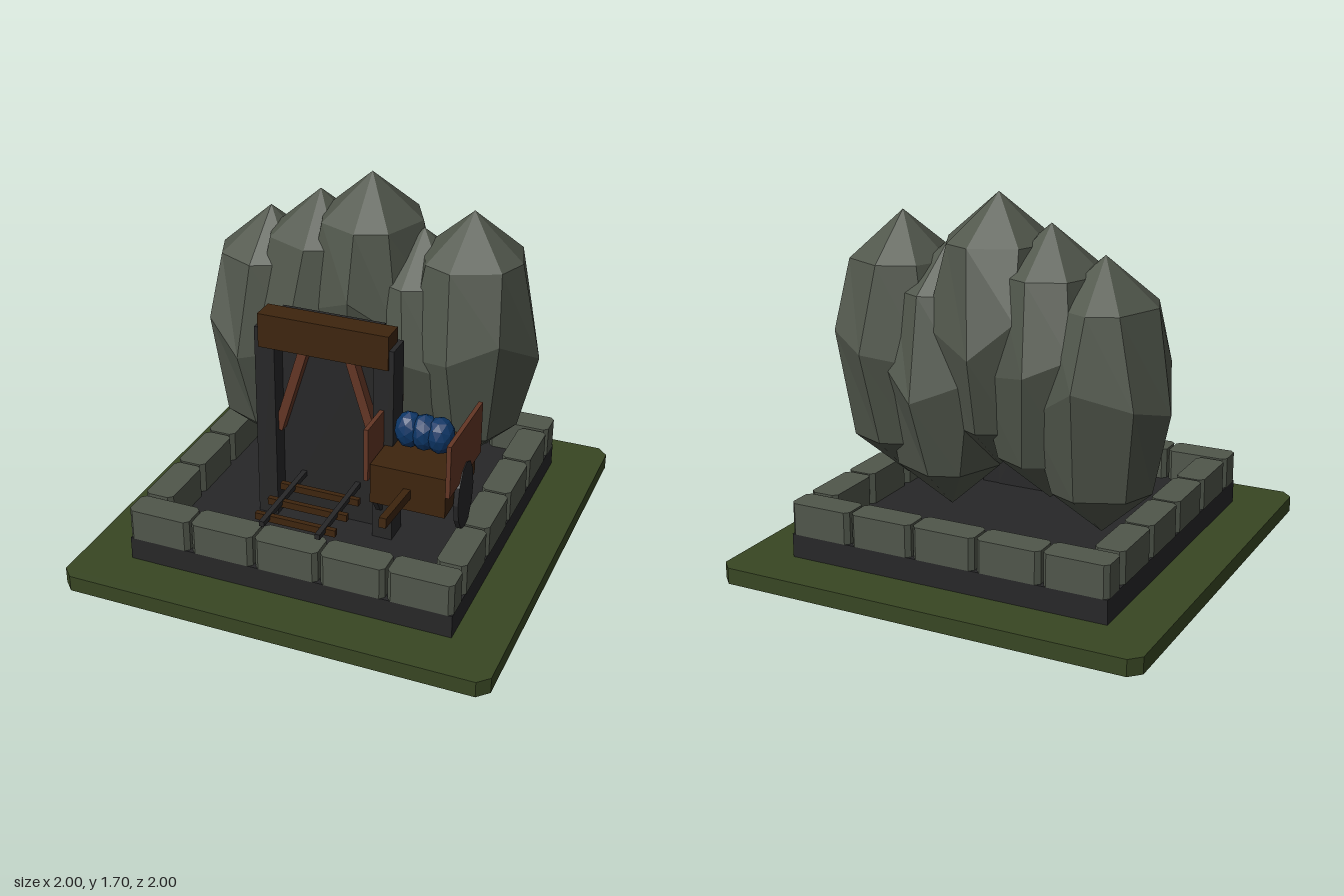
import * as THREE from 'three';

const mat = (name, color) => {
  const m = new THREE.MeshStandardMaterial({ color, flatShading: true });
  m.name = name;
  return m;
};

export function createModel() {
  const root = new THREE.Group();
  root.name = 'mineEntrance';
  const grass = mat('grass green', 0x384623);
  const stone = mat('grey stone', 0x50564b);
  const dark = mat('charcoal', 0x272728);
  const wood = mat('dark wood', 0x3e250e);
  const redWood = mat('red wood', 0x633625);
  const blue = mat('blue ore', 0x0c3565);

  const add = (name, geo, material, x, y, z, parent = root) => {
    const m = new THREE.Mesh(geo, material);
    m.name = name;
    m.position.set(x, y, z);
    parent.add(m);
    return m;
  };
  // box given by its min and max on each axis
  const box = (name, material, x0, x1, y0, y1, z0, z1, parent) =>
    add(name, new THREE.BoxGeometry(x1 - x0, y1 - y0, z1 - z0), material,
      (x0 + x1) / 2, (y0 + y1) / 2, (z0 + z1) / 2, parent);
  // slab with chamfered vertical edges, standing on y = 0
  const slab = (w, d, h, c) => {
    const a = w / 2, b = d / 2;
    const s = new THREE.Shape([
      [a - c, -b], [a, -b + c], [a, b - c], [a - c, b],
      [-a + c, b], [-a, b - c], [-a, -b + c], [-a + c, -b],
    ].map(([x, y]) => new THREE.Vector2(x, y)));
    return new THREE.ExtrudeGeometry(s, { depth: h, bevelEnabled: false }).rotateX(-Math.PI / 2);
  };

  // ground and foundation
  add('ground', slab(2, 2, 0.075, 0.05), grass, 0, 0, 0);
  box('foundation', dark, -0.765, 0.765, 0.075, 0.185, -0.765, 0.765);

  // ring of stone blocks
  const wall = new THREE.Group();
  wall.name = 'stoneWall';
  root.add(wall);
  const longBlock = slab(0.297, 0.136, 0.148, 0.02);
  const sideBlock = slab(0.136, 0.297, 0.148, 0.02);
  for (const s of [-1, 1]) {
    for (let i = 0; i < 5; i++) add('wallBlock', longBlock, stone, (i - 2) * 0.309, 0.185, s * 0.7);
    for (let i = 0; i < 4; i++) add('sideWallBlock', sideBlock, stone, s * 0.7, 0.185, (i - 1.5) * 0.309);
  }

  // faceted boulders: rings between a top and a bottom point
  const boulder = (seed) => {
    const n = 8;
    const rings = [[0.617, 0], [0.41, 0.245], [0.03, 0.33], [-0.4, 0.245], [-0.617, 0]];
    const pos = [], idx = [];
    rings.forEach(([y, r], k) => {
      for (let i = 0; i < n; i++) {
        const t = (i / n) * Math.PI * 2;
        const j = Math.sin(seed * 5.1 + i * 2.7 + k * 1.9);
        const a = t + (r ? j * 0.1 : 0);
        const dy = k === 2 ? Math.sin(i * 2.3 + seed) * 0.09 : 0;
        pos.push(Math.cos(a) * r * 0.97, y + dy, Math.sin(a) * r * 1.04);
      }
    });
    for (let k = 0; k < rings.length - 1; k++) {
      for (let i = 0; i < n; i++) {
        const a = k * n + i, b = k * n + (i + 1) % n;
        if (k > 0) idx.push(a, b, a + n);
        if (k < rings.length - 2) idx.push(b, b + n, a + n);
        if (k === 0) idx.splice(idx.length - 3, 3, b, b + n, a + n);
      }
    }
    const g = new THREE.BufferGeometry();
    g.setAttribute('position', new THREE.Float32BufferAttribute(pos, 3));
    g.setIndex(idx);
    const flat = g.toNonIndexed();
    flat.computeVertexNormals();
    return flat;
  };
  [[-0.5, 1.47], [-0.25, 1.585], [0, 1.7], [0.25, 1.47], [0.48, 1.585]].forEach(([x, top], i) =>
    add('boulder', boulder(i + 1), stone, x, top - 0.617, -0.23));

  // mine gate
  const gate = new THREE.Group();
  gate.name = 'gate';
  root.add(gate);
  box('tunnelMouth', dark, -0.24, 0.24, 0.185, 1.195, 0.21, 0.25, gate);
  box('lintel', wood, -0.305, 0.305, 1.04, 1.2, 0.235, 0.345, gate);
  for (const s of [-1, 1]) {
    const p = s * 0.28;
    box('post', dark, p - 0.047, p + 0.047, 0.185, 1.13, 0.215, 0.335, gate);
    const brace = add('brace', new THREE.BoxGeometry(0.042, 0.47, 0.05), redWood, s * 0.168, 0.845, 0.28, gate);
    brace.rotation.z = s * 0.3;
  }

  // track
  const track = new THREE.Group();
  track.name = 'track';
  root.add(track);
  for (const x of [-0.134, 0.13]) box('rail', dark, x - 0.012, x + 0.012, 0.37, 0.395, 0.19, 0.71, track);
  for (const z of [0.235, 0.37, 0.505, 0.635]) box('tie', wood, -0.195, 0.185, 0.355, 0.388, z - 0.012, z + 0.012, track);

  // cart
  const cart = new THREE.Group();
  cart.name = 'cart';
  root.add(cart);
  box('cartBody', wood, 0.29, 0.632, 0.48, 0.67, 0.105, 0.508, cart);
  const handle = add('handle', new THREE.BoxGeometry(0.032, 0.045, 0.3), wood, 0.46, 0.575, 0.645, cart);
  handle.rotation.x = -0.09;
  const wheel = new THREE.CylinderGeometry(1, 1, 0.022, 12).rotateZ(Math.PI / 2).scale(1, 0.165, 0.104);
  for (const s of [-1, 1]) {
    const p = 0.46 + s * 0.185;
    box('sidePanel', redWood, p - 0.01, p + 0.01, 0.59, 0.84, 0.1, 0.52, cart);
    add('wheel', wheel, dark, p + s * 0.003, 0.49, 0.31, cart);
  }
  // ore lumps
  [0.392, 0.463, 0.534].forEach((x, i) => {
    const lump = add('ore', new THREE.IcosahedronGeometry(1, 1), blue, x, 0.757, 0.305, cart);
    lump.scale.set(0.066, 0.086, 0.066);
    lump.rotation.y = i * 0.8;
  });

  return root;
}
